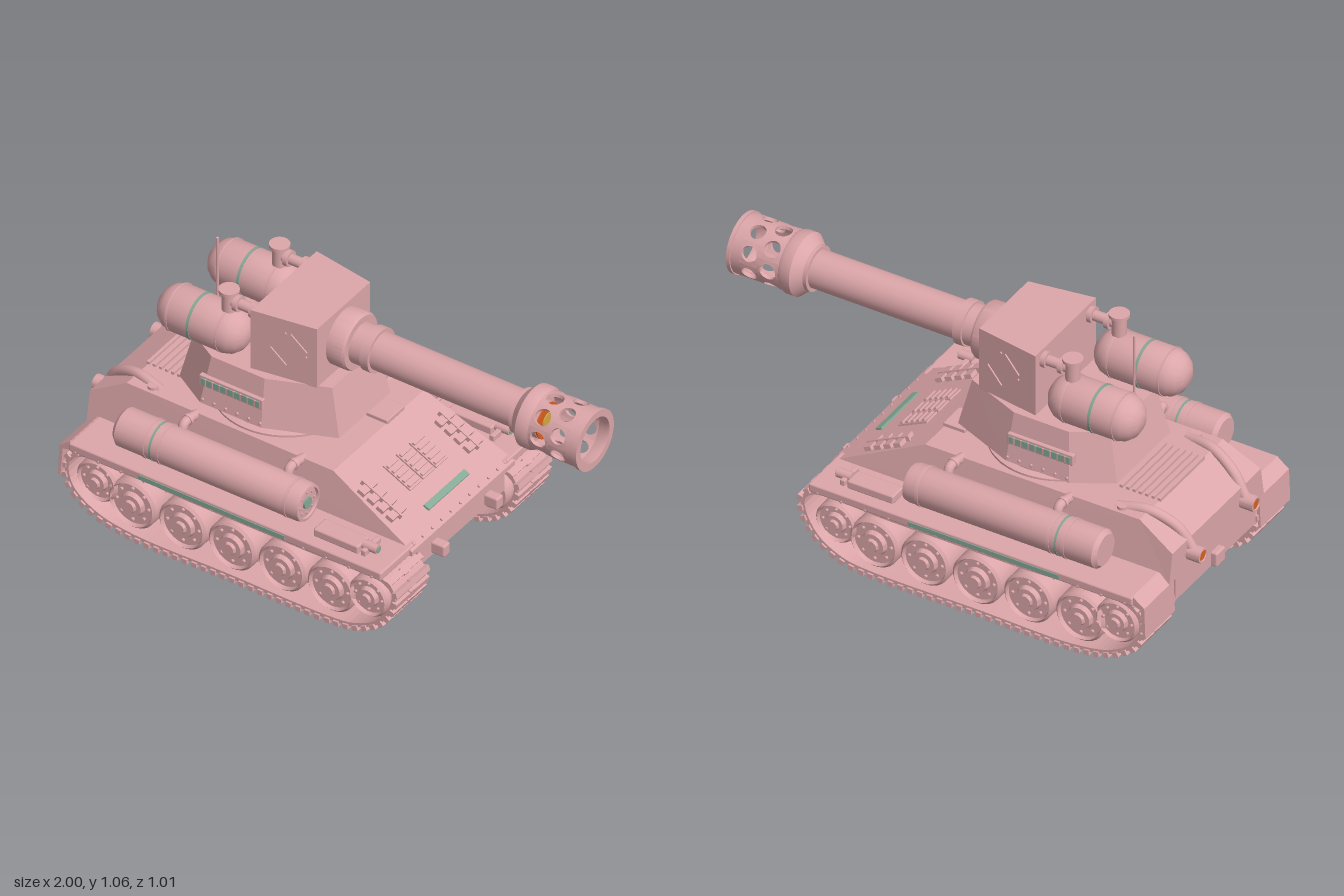
import * as THREE from 'three';
import { mergeGeometries, toCreasedNormals } from 'three/addons/utils/BufferGeometryUtils.js';
import { RoundedBoxGeometry } from 'three/addons/geometries/RoundedBoxGeometry.js';

const material = (name, color) => Object.assign(new THREE.MeshStandardMaterial({ color }), { name });
const V = (x, y, z) => new THREE.Vector3(x, y, z);

export function createModel() {
  const pink = material('dusty pink', 0xdca6a9);
  const green = material('sage green', 0x86a896);
  const orange = material('orange', 0xd9601f);
  const yellow = material('ochre yellow', 0xd4a446);
  const model = new THREE.Group();
  model.name = 'tank';

  function add(parent, name, geo, mat, x = 0, y = 0, z = 0) {
    const mesh = new THREE.Mesh(geo, mat);
    mesh.name = name;
    mesh.position.set(x, y, z);
    parent.add(mesh);
    return mesh;
  }
  function group(parent, name, x = 0, y = 0, z = 0) {
    const g = new THREE.Group();
    g.name = name;
    g.position.set(x, y, z);
    parent.add(g);
    return g;
  }
  const box = (w, h, d) => new THREE.BoxGeometry(w, h, d);
  const rbox = (w, h, d) => new RoundedBoxGeometry(w, h, d, 2, Math.min(w, h, d) * 0.2);
  const cylX = (r, len, n = 24) => new THREE.CylinderGeometry(r, r, len, n).rotateZ(-Math.PI / 2);
  const cylY = (r, len, n = 24) => new THREE.CylinderGeometry(r, r, len, n);
  const cylZ = (r, len, n = 24) => new THREE.CylinderGeometry(r, r, len, n).rotateX(Math.PI / 2);
  // turned part from [radius, height] pairs
  const lathe = (pts, n = 36) => toCreasedNormals(
    new THREE.LatheGeometry(pts.map(p => new THREE.Vector2(p[0], p[1])), n), 0.6);
  const latheX = (pts, n) => lathe(pts, n).rotateZ(-Math.PI / 2);
  // extruded outline, centred in depth, optionally reshaped by a rule
  function prism(pts, depth, rule) {
    const shape = new THREE.Shape(pts.map(p => new THREE.Vector2(p[0], p[1])));
    const geo = new THREE.ExtrudeGeometry(shape, { depth, bevelEnabled: false }).translate(0, 0, -depth / 2);
    if (rule) {
      const p = geo.attributes.position;
      for (let i = 0; i < p.count; i++) p.setXYZ(i, ...rule(p.getX(i), p.getY(i), p.getZ(i)));
      geo.computeVertexNormals();
    }
    return geo;
  }
  const tube = (pts, r) => new THREE.TubeGeometry(new THREE.CatmullRomCurve3(pts), 24, r, 14);

  // Hull
  const hull = group(model, 'hull');
  add(hull, 'lowerHull', prism([[0.43, 0.3], [-0.94, 0.3], [-0.94, 0.2], [-0.84, 0.09], [0.3, 0.09], [0.43, 0.215]].reverse(), 0.54), pink);
  add(hull, 'upperHull', prism([[-0.945, 0.3], [0.44, 0.3], [0.44, 0.32], [0.08, 0.5], [-0.8, 0.505], [-0.945, 0.42]], 0.64,
    (x, y, z) => [x, y, z * (1 - Math.max(0, y - 0.32) * 0.65)]), pink);
  for (let i = 0; i < 7; i++) add(hull, 'engineSlat', box(0.012, 0.014, 0.3), pink, -0.8 + i * 0.026, 0.508, 0);
  add(hull, 'towBlock', rbox(0.04, 0.06, 0.06), pink, -0.945, 0.23, 0);
  add(hull, 'driverHatch', rbox(0.09, 0.02, 0.11), pink, 0.04, 0.505, -0.1);
  for (const z of [0.25, -0.25]) add(hull, 'fillerCap', cylY(0.02, 0.016), pink, -0.71, 0.508, z);

  // Sloped front plate with louvres
  const glacis = group(hull, 'glacis', 0.26, 0.41, 0);
  glacis.rotation.z = -Math.atan(0.5);
  for (const z of [-0.08, 0, 0.08]) {
    add(glacis, 'louvreFrame', box(0.13, 0.008, 0.07), pink, -0.03, 0.003, z);
    for (let i = 0; i < 5; i++) add(glacis, 'louvreSlat', box(0.012, 0.012, 0.062), pink, -0.08 + i * 0.025, 0.009, z);
  }
  for (const s of [1, -1]) {
    for (let i = 0; i < 4; i++) for (const k of [-1, 1])
      add(glacis, 'ventBlock', box(0.03, 0.018, 0.038), pink, -0.075 + i * 0.045, 0.008, s * 0.24 + k * 0.024);
    add(glacis, 'ventRib', box(0.19, 0.024, 0.008), pink, -0.01, 0.008, s * 0.24);
  }
  add(glacis, 'greenStrip', box(0.026, 0.008, 0.25), green, 0.118, 0.004, 0);
  for (let i = 0; i < 11; i++) add(glacis, 'rivet', cylY(0.005, 0.008, 8), pink, 0.185, 0.003, -0.29 + i * 0.058);

  // Track path and its geometry
  const path = new THREE.CatmullRomCurve3([[-0.66, 0.02], [-0.24, 0.02], [0.19, 0.02], [0.3, 0.035], [0.4, 0.09], [0.455, 0.17],
    [0.465, 0.245], [0.42, 0.282], [0.1, 0.282], [-0.4, 0.282], [-0.86, 0.282], [-0.92, 0.23], [-0.905, 0.13], [-0.81, 0.055]]
    .map(p => V(p[0], p[1], 0)), true, 'centripetal');
  const offset = (u, d) => {
    const p = path.getPointAt(u), t = path.getTangentAt(u);
    return new THREE.Vector2(p.x + t.y * d, p.y - t.x * d);
  };
  const ring = d => Array.from({ length: 120 }, (_, i) => offset(i / 120, d));
  const bandShape = new THREE.Shape(ring(0.008));
  bandShape.holes.push(new THREE.Path(ring(-0.008)));
  const band = new THREE.ExtrudeGeometry(bandShape, { depth: 0.19, bevelEnabled: false }).translate(0, 0, -0.095);
  const cleats = [];
  for (let i = 0; i < 76; i++) {
    const u = i / 76, t = path.getTangentAt(u), p = offset(u, 0.01), q = offset(u, 0.014), a = Math.atan2(t.y, t.x);
    cleats.push(box(0.022, 0.02, 0.206).rotateZ(a).translate(p.x, p.y, 0));
    cleats.push(box(0.03, 0.012, 0.03).rotateZ(a).translate(q.x, q.y, 0));
  }
  const cleatGeo = mergeGeometries(cleats);
  const wheelGeo = lathe([[0, -0.09], [0.092, -0.09], [0.1, -0.08], [0.1, 0.07], [0.09, 0.08], [0.084, 0.066],
    [0.05, 0.066], [0.044, 0.085], [0.026, 0.085], [0.022, 0.097], [0, 0.097]]).rotateX(Math.PI / 2);

  for (const s of [1, -1]) {
    const side = group(model, s > 0 ? 'rightRunningGear' : 'leftRunningGear', 0, 0, s * 0.38);
    add(side, 'trackBand', band, pink);
    add(side, 'trackLinks', cleatGeo, pink);
    const wheels = [[-0.66, 0.136, 1], [-0.446, 0.136, 1], [-0.235, 0.136, 1], [-0.022, 0.136, 1], [0.187, 0.136, 1],
      [-0.81, 0.174, 0.86], [0.345, 0.165, 0.82]];
    for (const [x, y, k] of wheels) {
      const wheel = group(side, 'wheel', x, y, 0);
      wheel.scale.set(k, k, 1);
      if (s < 0) wheel.rotation.y = Math.PI;
      add(wheel, 'wheelDisc', wheelGeo, pink);
      for (let i = 0; i < 8; i++) {
        const a = i * Math.PI / 4;
        add(wheel, 'wheelBolt', cylZ(0.007, 0.012, 8), pink, Math.cos(a) * 0.067, Math.sin(a) * 0.067, 0.07);
      }
    }

    // Fender and its fittings
    const f = group(model, 'fender');
    add(f, 'fenderPlate', rbox(1.33, 0.036, 0.225), pink, -0.235, 0.316, s * 0.387);
    add(f, 'fenderFlap', prism([[-0.9, 0.334], [-0.945, 0.3], [-0.95, 0.17], [-0.94, 0.17], [-0.93, 0.29], [-0.89, 0.3]], 0.2), pink, 0, 0, s * 0.39);
    add(f, 'fenderGreenStrip', box(0.62, 0.018, 0.006), green, -0.29, 0.315, s * 0.5);
    for (let i = 0; i < 14; i++) add(f, 'fenderRivet', cylZ(0.005, 0.008, 8), pink, -0.87 + i * 0.097, 0.304, s * 0.499);
    add(f, 'toolBox', rbox(0.19, 0.035, 0.075), pink, 0.205, 0.348, s * 0.415);
    add(f, 'lampArm', rbox(0.02, 0.025, 0.1), pink, 0.32, 0.345, s * 0.4);
    add(f, 'lampBody', cylX(0.018, 0.06), pink, 0.33, 0.356, s * 0.413);
    add(f, 'lampLens', cylX(0.012, 0.006), green, 0.361, 0.356, s * 0.413);
    add(f, 'frontHook', rbox(0.06, 0.05, 0.04), pink, 0.455, 0.25, s * 0.165);

    // Side drum with end lens and elbow pipes
    const drum = group(model, 'sideDrum', 0, 0.425, s * 0.405);
    add(drum, 'drumBody', latheX([[0, -0.735], [0.06, -0.735], [0.074, -0.72], [0.074, 0.04], [0.07, 0.058], [0.06, 0.06], [0.058, 0.05], [0, 0.05]]), pink);
    for (const x of [-0.6, -0.54, 0]) add(drum, 'drumHoop', cylX(0.0765, 0.012, 36), pink, x);
    add(drum, 'drumBand', cylX(0.0755, 0.008, 36), green, -0.57);
    add(drum, 'drumLens', cylX(0.023, 0.008), green, 0.054);
    for (let i = 0; i < 8; i++) {
      const a = i * Math.PI / 4;
      add(drum, 'drumBolt', cylX(0.005, 0.01, 8), pink, 0.052, Math.cos(a) * 0.044, Math.sin(a) * 0.044);
    }
    for (const x of [-0.51, -0.06]) {
      add(f, 'elbowPipe', tube([V(x, 0.485, s * 0.26), V(x, 0.497, s * 0.32), V(x, 0.495, s * 0.35), V(x, 0.46, s * 0.365)], 0.018), pink);
      add(f, 'elbowCollar', cylZ(0.022, 0.014), pink, x, 0.497, s * 0.325);
    }

    // Exhaust
    add(f, 'exhaustPipe', tube([V(-0.68, 0.495, s * 0.24), V(-0.8, 0.505, s * 0.215), V(-0.9, 0.455, s * 0.19), V(-0.945, 0.39, s * 0.18), V(-0.96, 0.36, s * 0.18)], 0.02), pink);
    add(f, 'exhaustTip', latheX([[0, -0.992], [0.02, -0.992], [0.022, -1], [0.03, -1], [0.03, -0.94], [0, -0.94]], 20), pink, 0, 0.36, s * 0.18);
    add(f, 'exhaustGlow', cylX(0.02, 0.006), orange, -0.993, 0.36, s * 0.18);
  }

  // Turret
  const turret = group(model, 'turret');
  add(turret, 'turretRing', lathe([[0, 0.49], [0.265, 0.49], [0.265, 0.51], [0.24, 0.515], [0.24, 0.545], [0, 0.545]], 48), pink, -0.31);
  const plan = [[0.02, 0.16], [-0.24, 0.265], [-0.5, 0.265], [-0.645, 0.18]];
  const outline = [...plan, ...plan.map(([x, z]) => [x, -z]).reverse()].reverse();
  add(turret, 'turretBody', prism(outline, 0.19, (x, y, z) => {
    const t = Math.max(0, (z + 0.07) / 0.165), k = 1 - 0.14 * t;
    return [-0.32 + (x + 0.32) * (1 - 0.13 * t), y * k, z];
  }).rotateX(-Math.PI / 2), pink, 0, 0.635, 0);
  for (const s of [1, -1]) {
    add(turret, 'sideGrille', rbox(0.27, 0.045, 0.02), pink, -0.375, 0.632, s * 0.247);
    add(turret, 'sideGreenStrip', box(0.25, 0.026, 0.006), green, -0.375, 0.632, s * 0.259);
    for (let i = 0; i < 8; i++) add(turret, 'grilleRib', box(0.006, 0.028, 0.006), pink, -0.48 + i * 0.03, 0.632, s * 0.26);
    for (let i = 0; i < 6; i++) add(turret, 'turretRivet', cylZ(0.006, 0.01, 8), pink, -0.49 + i * 0.049, 0.556, s * 0.264);
  }

  // Gun housing, tapering towards the front
  add(turret, 'gunHousing', prism([[-0.325, -0.205], [-0.07, -0.165], [-0.07, 0.165], [-0.325, 0.205]], 0.26).rotateX(-Math.PI / 2), pink, 0, 0.857, 0);
  for (const s of [1, -1]) {
    const panel = group(turret, 'diamondPanel', -0.18, 0.86, s * 0.183);
    panel.rotation.y = s * 0.156;
    for (const [x, y] of [[1, 1], [-1, 1], [-1, -1], [1, -1]])
      add(panel, 'diamondBar', box(0.09, 0.008, 0.01), pink, x * 0.04, y * 0.04, 0).rotation.z = -x * y * Math.PI / 4;
  }
  add(turret, 'antenna', cylY(0.005, 0.34, 10), pink, -0.607, 0.885, 0);
  add(turret, 'antennaBase', cylY(0.016, 0.03, 16), pink, -0.607, 0.735, 0);

  // Pressure tanks with valves
  for (const s of [1, -1]) {
    const tank = group(turret, 'pressureTank', -0.55, 0.822, s * 0.157);
    const half = [[0.186, 0], [0.182, 0.035], [0.165, 0.063], [0.14, 0.082], [0.11, 0.09]];
    add(tank, 'tankBody', latheX([...half.map(([x, r]) => [r, -x]), ...half.slice().reverse().map(([x, r]) => [r, x])]), pink);
    add(tank, 'tankBand', cylX(0.0925, 0.01, 36), green, -0.018);
    for (const x of [-0.11, 0.1]) add(tank, 'tankHoop', cylX(0.0925, 0.008, 36), pink, x);
    add(tank, 'valveStem', cylY(0.027, 0.12), pink, 0.1, 0.11, 0);
    add(tank, 'valveCap', cylY(0.038, 0.012), pink, 0.1, 0.17, 0);
    add(tank, 'valvePipe', cylX(0.02, 0.13), pink, 0.165, 0.128, 0);
    for (const x of [0.14, 0.21]) add(tank, 'pipeFlange', cylX(0.031, 0.018), pink, x, 0.128, 0);
  }

  // Gun
  const gun = group(model, 'gun', 0, 0.857, 0);
  add(gun, 'mantlet', latheX([[0, -0.08], [0.11, -0.08], [0.11, -0.005], [0.104, 0.004], [0.078, 0.004], [0.078, 0.055],
    [0.086, 0.055], [0.086, 0.09], [0.072, 0.09], [0.072, 0.795], [0, 0.795]], 40), pink);
  add(gun, 'muzzleCollar', latheX([[0.072, 0.69], [0.086, 0.69], [0.086, 0.705], [0.12, 0.74], [0.12, 0.775], [0.113, 0.79], [0.1, 0.79], [0.1, 0.76], [0.07, 0.76]], 40), pink);
  add(gun, 'muzzleRim', latheX([[0.1, 0.95], [0.113, 0.95], [0.113, 0.985], [0.118, 0.985], [0.118, 1], [0.09, 1], [0.09, 0.985], [0.1, 0.95]], 40), pink);
  add(gun, 'muzzleGlow', cylX(0.07, 0.008, 32), orange, 0.797);
  add(gun, 'muzzleCore', cylX(0.037, 0.008, 32), yellow, 0.802);

  // Perforated muzzle wall: each cell is a curved tile around one round hole
  function holeCell(x0, angle, length, hole) {
    const geo = new THREE.PlaneGeometry(1, 1, 32, 3), p = geo.attributes.position;
    for (let i = 0; i < p.count; i++) {
      const t = (p.getX(i) + 0.5) * Math.PI * 2, row = Math.round((0.5 - p.getY(i)) * 3);
      const c = Math.cos(t), n = Math.sin(t), m = Math.max(Math.abs(c), Math.abs(n));
      const edge = row === 0 || row === 3, r = row < 2 ? 0.113 : 0.1;
      const dx = edge ? c / m * length / 2 : c * hole;
      const a = angle + (edge ? n / m * Math.PI / 8 : n * hole / 0.113);
      p.setXYZ(i, x0 + dx, r * Math.cos(a), r * Math.sin(a));
    }
    return toCreasedNormals(geo, 0.6);
  }
  const cells = [];
  for (let i = 0; i < 8; i++) {
    cells.push(holeCell(0.8325, i * Math.PI / 4, 0.085, 0.032));
    cells.push(holeCell(0.9125, (i + 0.5) * Math.PI / 4, 0.075, 0.03));
  }
  add(gun, 'muzzleWall', mergeGeometries(cells), pink);
  return model;
}
